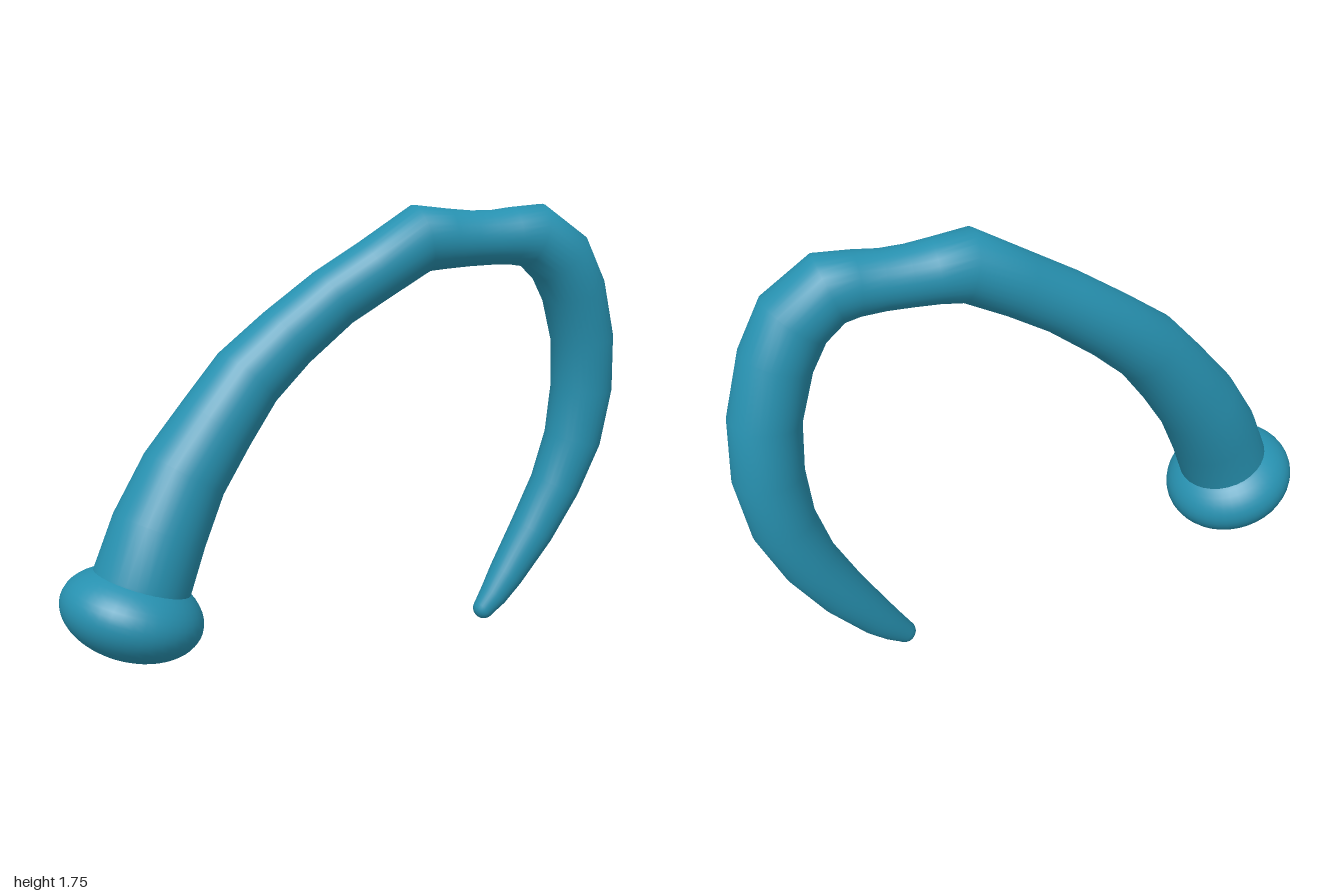
import * as THREE from 'three';

// Centre line: x, y, z, radius
const ARM = [
  [-0.74, 0.29, 0.505, 0.185], [-0.70, 0.425, 0.48, 0.185], [-0.65, 0.605, 0.41, 0.18],
  [-0.575, 0.80, 0.32, 0.165], [-0.47, 0.975, 0.24, 0.15], [-0.37, 1.135, 0.15, 0.14],
  [-0.24, 1.27, 0.05, 0.128], [-0.08, 1.41, -0.055, 0.121], [0.07, 1.51, -0.135, 0.121],
  [0.23, 1.62, -0.235, 0.131],
];
const NECK = [
  [0.33, 1.614, -0.285, 0.115], [0.41, 1.612, -0.33, 0.108],
  [0.49, 1.612, -0.372, 0.106], [0.57, 1.615, -0.415, 0.113],
];
const CLAW = [
  [0.65, 1.615, -0.462, 0.128], [0.76, 1.52, -0.52, 0.133], [0.82, 1.385, -0.572, 0.13],
  [0.865, 1.18, -0.625, 0.128], [0.872, 0.965, -0.645, 0.127], [0.845, 0.745, -0.635, 0.119],
  [0.78, 0.545, -0.597, 0.106], [0.69, 0.355, -0.535, 0.094], [0.59, 0.175, -0.46, 0.074],
  [0.542, 0.095, -0.418, 0.059],
];
const SIDES = 32;

// Rounded tip: rings of a half sphere along the last direction
function tipRings(center, r) {
  const dir = new THREE.Vector3(-0.49, -0.77, 0.41).normalize();
  const rings = [];
  for (let i = 0; i <= 5; i++) {
    const a = (i / 5) * Math.PI / 2;
    const p = center.clone().addScaledVector(dir, r * Math.sin(a));
    rings.push([p.x, p.y, p.z, Math.max(r * Math.cos(a), 0.0005)]);
  }
  return rings;
}

// Round sections along the path from ring `from` to ring `to`
function loft(path, from, to) {
  const side = new THREE.Vector3(0.53, 0, 0.85).normalize();
  const at = i => new THREE.Vector3(...path[i].slice(0, 3));
  const pos = [], nor = [], idx = [];
  for (let i = from; i <= to; i++) {
    const a = Math.max(i - 1, 0), b = Math.min(i + 1, path.length - 1);
    const p = at(i);
    // Bisect the two neighbouring directions so joints are mitred
    const t = new THREE.Vector3();
    if (a < i) t.add(p.clone().sub(at(a)).normalize());
    if (b > i) t.add(at(b).sub(p).normalize());
    t.normalize();
    const u = side.clone().cross(t).normalize();
    const v = t.clone().cross(u);
    const slope = (path[b][3] - path[a][3]) / at(b).distanceTo(at(a));
    for (let j = 0; j <= SIDES; j++) {
      const w = (j / SIDES) * Math.PI * 2;
      const n = u.clone().multiplyScalar(Math.cos(w)).addScaledVector(v, Math.sin(w));
      pos.push(...p.clone().addScaledVector(n, path[i][3]).toArray());
      nor.push(...n.addScaledVector(t, -slope).normalize().toArray());
    }
  }
  const row = SIDES + 1;
  for (let i = 0; i < to - from; i++) {
    for (let j = 0; j < SIDES; j++) {
      const k = i * row + j;
      idx.push(k, k + 1, k + row, k + 1, k + row + 1, k + row);
    }
  }
  const g = new THREE.BufferGeometry();
  g.setAttribute('position', new THREE.Float32BufferAttribute(pos, 3));
  g.setAttribute('normal', new THREE.Float32BufferAttribute(nor, 3));
  g.setIndex(idx);
  return g;
}

export function createModel() {
  const model = new THREE.Group();
  model.name = 'hookedArm';
  const teal = new THREE.MeshStandardMaterial({ color: 0x2791b0 });
  teal.name = 'teal';
  const add = (name, geometry) => {
    const m = new THREE.Mesh(geometry, teal);
    m.name = name;
    model.add(m);
    return m;
  };

  // Arm, waisted neck and tapering claw share one centre line
  const path = [...ARM, ...NECK, ...CLAW, ...tipRings(new THREE.Vector3(0.505, 0.045, -0.39), 0.045)];
  const neckStart = ARM.length - 1, clawStart = ARM.length + NECK.length;
  add('arm', loft(path, 0, neckStart));
  add('neck', loft(path, neckStart, clawStart));
  add('claw', loft(path, clawStart, path.length - 1));

  // Flattened ball at the foot of the arm, tilted with it
  const base = add('baseKnob', new THREE.SphereGeometry(1, 40, 24));
  base.scale.set(0.27, 0.17, 0.27);
  base.position.set(-0.735, 0.31, 0.505);
  base.quaternion.setFromUnitVectors(
    new THREE.Vector3(0, 1, 0), new THREE.Vector3(0.25, 0.93, -0.25).normalize());

  return model;
}
